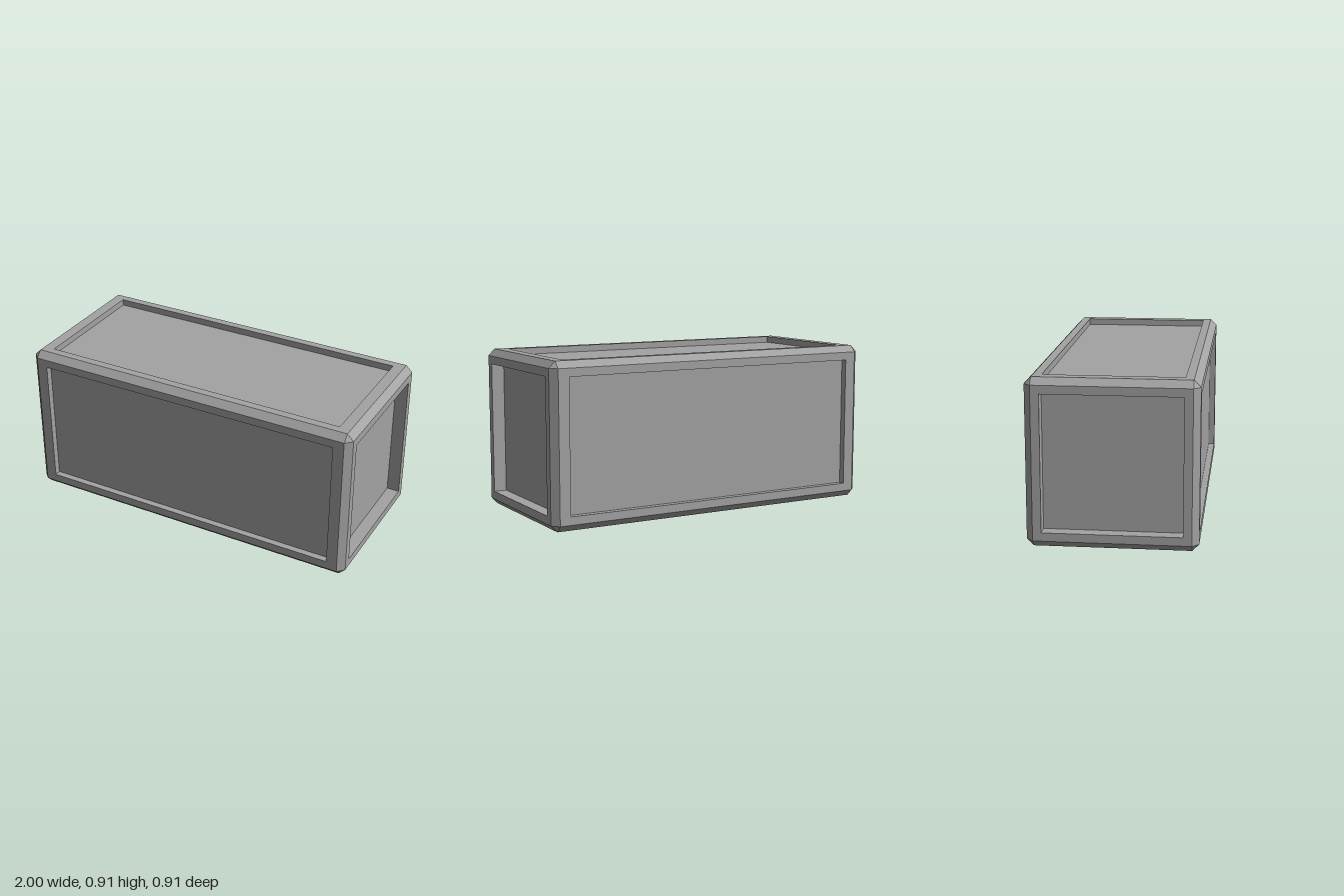
import * as THREE from 'three';

const HALF = [1, 0.454, 0.454];          // half extents on x, y, z
const OPEN = [0.9, 0.371, 0.371];        // half extents of the panel openings
const DEPTH = [0.073, 0.037, 0.037];     // recess depth on x, y, z faces
const BEVEL = 0.037;

// Flat-sided mesh from polygons (triangles or quads), optionally reversed
function polyMesh(name, polys, flip, material) {
  const pos = [];
  for (const poly of polys) {
    const p = flip ? [...poly].reverse() : poly;
    for (let i = 1; i < p.length - 1; i++) pos.push(...p[0], ...p[i], ...p[i + 1]);
  }
  const geo = new THREE.BufferGeometry();
  geo.setAttribute('position', new THREE.Float32BufferAttribute(pos, 3));
  geo.computeVertexNormals();
  const mesh = new THREE.Mesh(geo, material);
  mesh.name = name;
  return mesh;
}

// Point with coordinates given along axis a and the two axes after it
function at(a, pa, pu, pv) {
  const p = [0, 0, 0];
  p[a] = pa;
  p[(a + 1) % 3] = pu;
  p[(a + 2) % 3] = pv;
  return p;
}

export function createModel() {
  const group = new THREE.Group();
  group.name = 'panelledCrate';
  const grey = new THREE.MeshStandardMaterial({ color: 0xa3a3a3 });
  grey.name = 'grey';
  const body = new THREE.Group();
  body.name = 'crateBody';
  body.position.y = HALF[1];
  group.add(body);

  const sideNames = [['rightEnd', 'leftEnd'], ['bottom', 'top'], ['back', 'front']];
  for (let a = 0; a < 3; a++) {
    const u = (a + 1) % 3, v = (a + 2) % 3;

    // Two opposite sides: rim, recess walls and sunken panel
    for (const s of [-1, 1]) {
      const ring = (hu, hv, h) =>
        [[-1, -1], [1, -1], [1, 1], [-1, 1]].map(([i, j]) => at(a, s * h, i * hu, j * hv));
      const outer = ring(HALF[u] - BEVEL, HALF[v] - BEVEL, HALF[a]);
      const lip = ring(OPEN[u], OPEN[v], HALF[a]);
      const floor = ring(OPEN[u], OPEN[v], HALF[a] - DEPTH[a]);
      const band = (r, q) => r.map((p, i) => [p, r[(i + 1) % 4], q[(i + 1) % 4], q[i]]);
      const name = sideNames[a][(s + 1) / 2];
      body.add(polyMesh(name + 'Frame', [...band(outer, lip), ...band(lip, floor)], s < 0, grey));
      body.add(polyMesh(name + 'Panel', [floor], s < 0, grey));
    }

    // Four bevelled edges running along this axis
    const len = HALF[a] - BEVEL;
    for (const su of [-1, 1]) for (const sv of [-1, 1]) {
      const p = (e) => at(a, e, su * HALF[u], sv * (HALF[v] - BEVEL));
      const q = (e) => at(a, e, su * (HALF[u] - BEVEL), sv * HALF[v]);
      body.add(polyMesh('bevelledEdge', [[p(-len), q(-len), q(len), p(len)]], su * sv < 0, grey));
    }
  }

  // Eight clipped corners
  for (const sx of [-1, 1]) for (const sy of [-1, 1]) for (const sz of [-1, 1]) {
    const s = [sx, sy, sz];
    const tri = [0, 1, 2].map((a) => s.map((k, i) => k * (HALF[i] - (i === a ? 0 : BEVEL))));
    body.add(polyMesh('clippedCorner', [tri], sx * sy * sz < 0, grey));
  }
  return group;
}
